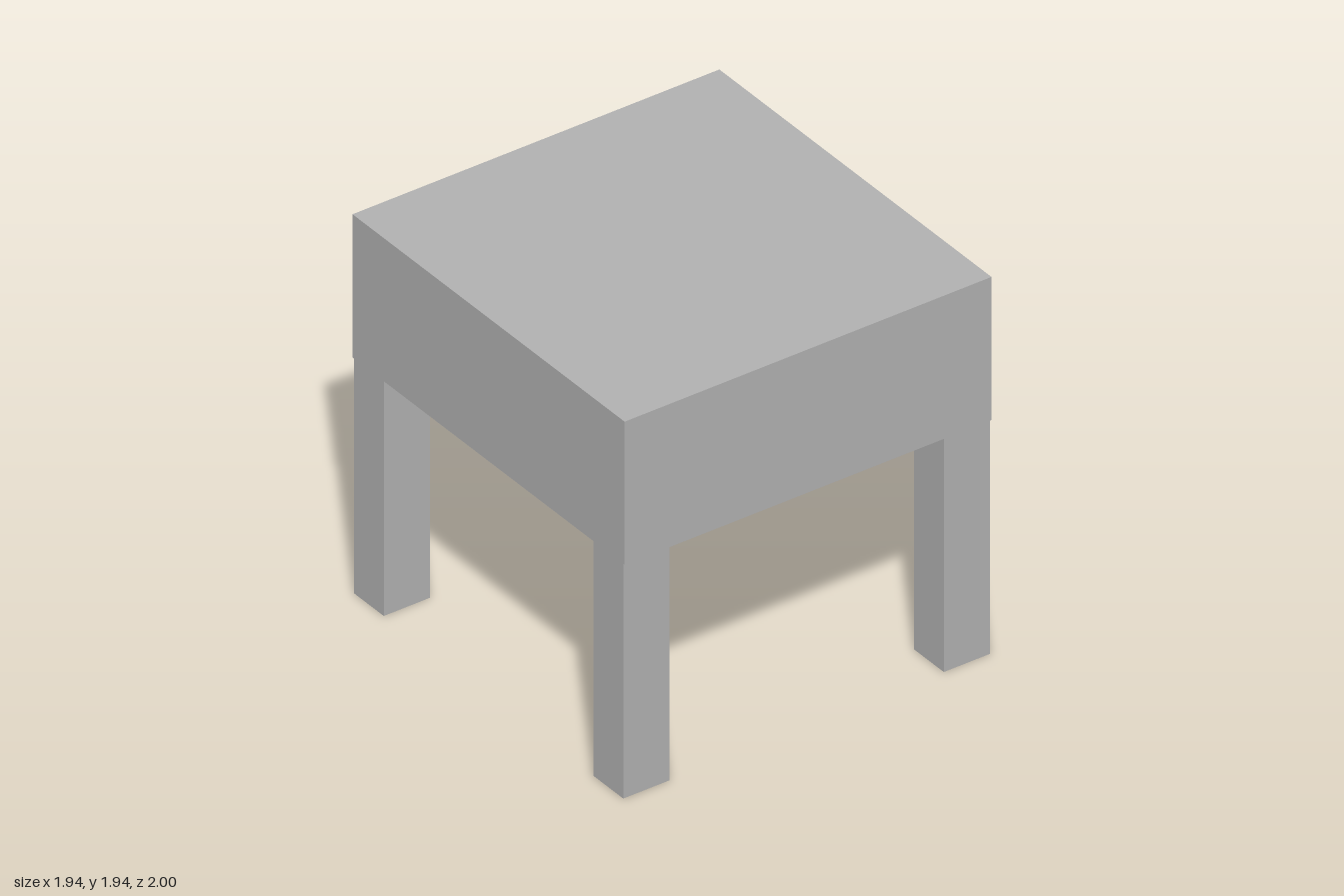
import * as THREE from 'three';

export function createModel() {
  const model = new THREE.Group();
  model.name = 'stool';
  const grey = new THREE.MeshStandardMaterial({ color: 0xb2b2b2 });
  grey.name = 'plain grey';

  // Box given by its size and the centre of its base
  const addBox = (name, w, h, d, x, y, z) => {
    const mesh = new THREE.Mesh(new THREE.BoxGeometry(w, h, d), grey);
    mesh.name = name;
    mesh.position.set(x, y + h / 2, z);
    model.add(mesh);
  };

  const halfX = 0.97, halfZ = 1;
  const railY = 1.205, seatY = 1.49, top = 1.94;
  const sideRail = 0.15, endRail = 0.21;
  const legX = 0.245, legZ = 0.22;

  // Thick seat slab
  addBox('seat', halfX * 2, top - seatY, halfZ * 2, 0, seatY, 0);

  for (const s of [1, -1]) {
    // Rails forming an open frame under the seat
    addBox(s > 0 ? 'frontRail' : 'backRail', halfX * 2, seatY - railY, endRail,
      0, railY, s * (halfZ - endRail / 2));
    addBox(s > 0 ? 'leftRail' : 'rightRail', sideRail, seatY - railY, 2 * (halfZ - endRail),
      s * (halfX - sideRail / 2), railY, 0);

    // Legs, set in slightly at front and back
    for (const f of [1, -1]) {
      addBox((f > 0 ? 'front' : 'back') + (s > 0 ? 'Left' : 'Right') + 'Leg', legX, railY, legZ,
        s * (halfX - legX / 2), 0, f * (halfZ - 0.01 - legZ / 2));
    }
  }
  return model;
}
